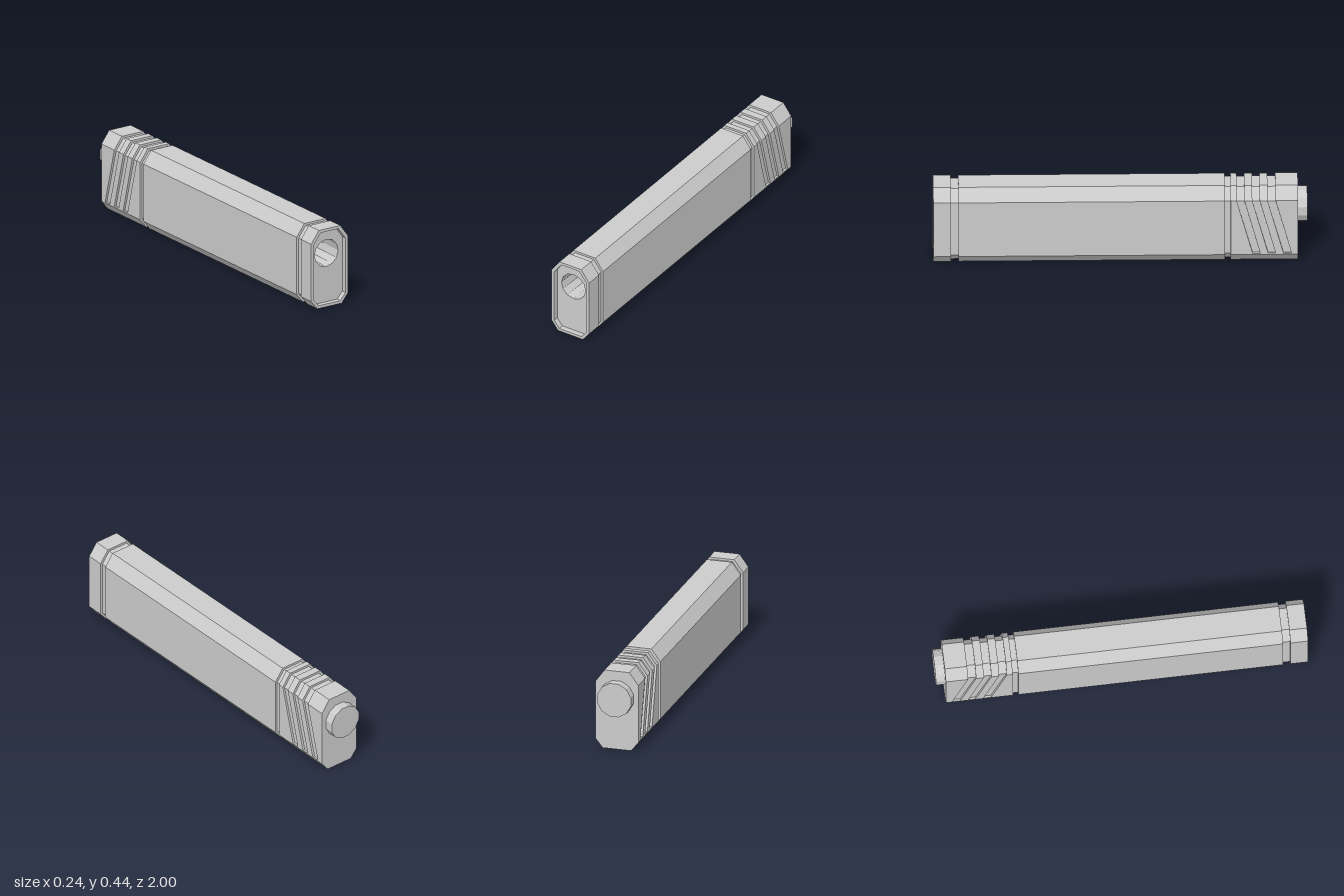
import * as THREE from 'three';

const BORE_Y = 0.293;

// Right half of the chamfered section, pulled in by d; 'low' is the inset below the slanted cuts.
function section(z, d = 0, low = d, slant = 0) {
  const shift = z - slant;
  const half = [
    [0.08 - 0.55 * low, low, shift],
    [0.12 - low, 0.05 + 0.35 * low, shift],
    [0.12 - low, 0.057, shift],
    [0.12 - d, 0.057, shift],
    [0.12 - d, 0.375 - 0.6 * d, z],
    [0.07 - 0.8 * d, 0.443 - d, z],
  ];
  const mirrored = half.map(([x, y, pz]) => [-x, y, pz]).reverse();
  return [...half, ...mirrored];
}

function circle(z, r, turn, n = 12) {
  return Array.from({ length: n }, (_, i) => {
    const a = turn + (i / n) * Math.PI * 2;
    return [r * Math.cos(a), BORE_Y + r * Math.sin(a), z];
  });
}

// Skin through rings that all have the same number of points.
function loft(rings) {
  const pos = [];
  for (let k = 0; k < rings.length - 1; k++) {
    const a = rings[k], b = rings[k + 1], n = a.length;
    for (let i = 0; i < n; i++) {
      const j = (i + 1) % n;
      pos.push(...a[i], ...b[i], ...a[j], ...a[j], ...b[i], ...b[j]);
    }
  }
  const g = new THREE.BufferGeometry();
  g.setAttribute('position', new THREE.Float32BufferAttribute(pos, 3));
  g.computeVertexNormals();
  return g;
}

export function createModel() {
  const group = new THREE.Group();
  const mat = new THREE.MeshStandardMaterial({ color: 0xcccccc, flatShading: true });
  const add = (name, geometry) => {
    const mesh = new THREE.Mesh(geometry, mat);
    mesh.name = name;
    group.add(mesh);
    return mesh;
  };

  // Housing: recess wall, front rim, front groove, long body, rear groove
  const RIM = 0.016, CUT = 0.012, FLOOR = 0.97;
  const rings = [section(FLOOR, RIM), section(1, RIM), section(1)];
  for (const [front, back] of [[0.905, 0.865], [-0.56, -0.59]]) {
    rings.push(section(front), section(front, CUT), section(back, CUT), section(back));
  }
  // Slanted grip cuts that stop above the lower chamfer
  for (const [front, back] of [[-0.622, -0.663], [-0.705, -0.745], [-0.787, -0.83]]) {
    rings.push(
      section(front, 0, 0, 0.085), section(front, CUT, 0, 0.085),
      section(back, CUT, 0, 0.085), section(back, 0, 0, 0.085));
  }
  // Rear end, closed to its centre
  const end = section(-0.95);
  rings.push(end, end.map(() => [0, 0.22, -0.95]));
  add('housing', loft(rings));

  // Recessed front plate with the bore opening
  const plate = new THREE.Shape(section(0, RIM).map(([x, y]) => new THREE.Vector2(x, y)));
  plate.holes.push(new THREE.Path(circle(0, 0.077, 0).map(([x, y]) => new THREE.Vector2(x, y))));
  add('frontPlate', new THREE.ShapeGeometry(plate)).position.z = FLOOR;

  // Bore: closed at the back, slightly twisted and tapered
  const deep = circle(-0.9, 0.071, Math.PI / 12);
  add('bore', loft([deep.map(() => [0, BORE_Y, -0.9]), deep, circle(FLOOR, 0.077, 0)]));

  // Rear connector
  const knob = new THREE.CylinderGeometry(0.097, 0.097, 0.05, 12);
  knob.rotateY(Math.PI / 12).rotateX(Math.PI / 2);
  add('rearConnector', knob).position.set(0, 0.295, -0.975);

  return group;
}
